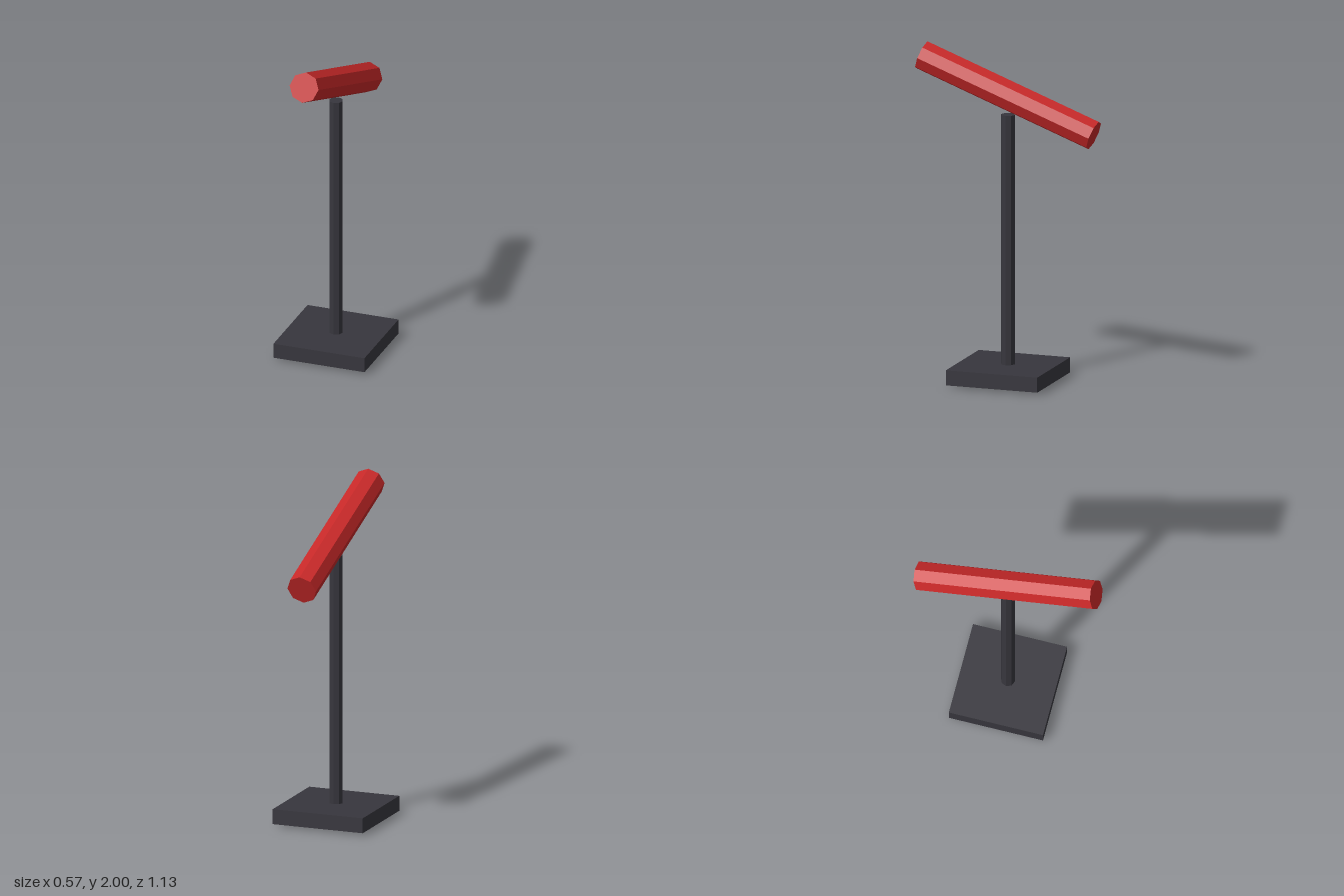
import * as THREE from 'three';

export function createModel() {
  const group = new THREE.Group();
  const red = new THREE.MeshStandardMaterial({ color: 0xc62828, flatShading: true });
  red.name = 'red';
  const charcoal = new THREE.MeshStandardMaterial({ color: 0x37363d, flatShading: true });
  charcoal.name = 'charcoal';

  const add = (name, geometry, material, y) => {
    const mesh = new THREE.Mesh(geometry, material);
    mesh.name = name;
    mesh.position.y = y;
    group.add(mesh);
    return mesh;
  };

  // Square foot, with the pole poking slightly out below it
  add('base', new THREE.BoxGeometry(0.568, 0.09, 0.568), charcoal, 0.06);

  // Eight-sided pole
  add('pole', new THREE.CylinderGeometry(0.042, 0.042, 1.6, 8), charcoal, 0.8);

  // Eight-sided tube, lying along z with its front end raised
  const tube = add('tube', new THREE.CylinderGeometry(0.09, 0.09, 1.137, 8), red, 1.7155);
  tube.rotation.x = Math.PI / 2 - 0.36;

  return group;
}
